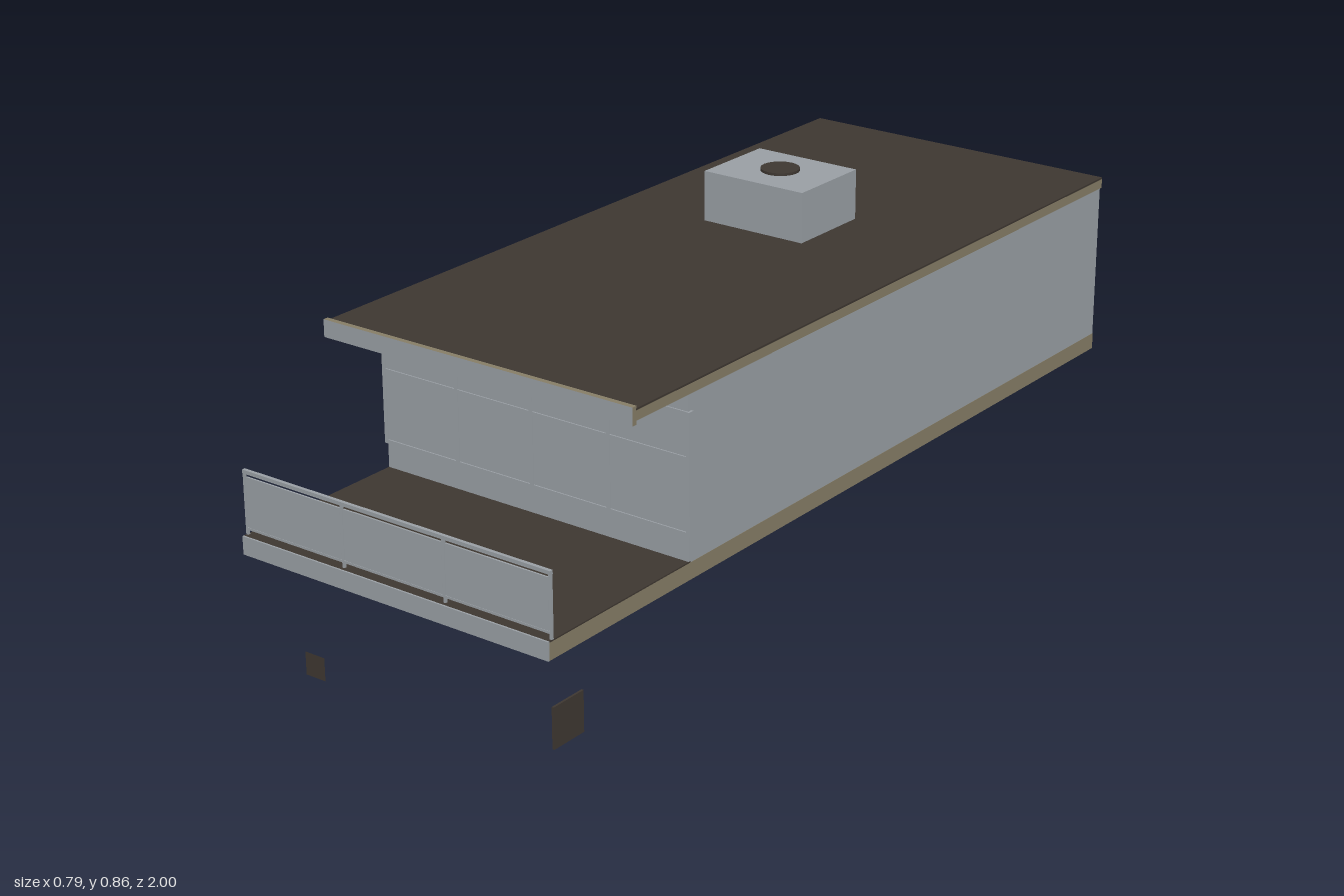
import * as THREE from 'three';

export function createModel() {
  const root = new THREE.Group();
  root.name = 'balconyHouse';
  const mat = (name, color, side = THREE.FrontSide) => {
    const m = new THREE.MeshStandardMaterial({ color, side });
    m.name = name;
    return m;
  };
  const grey = mat('greyPanel', 0x999fa4);
  const dark = mat('darkBrown', 0x3e3731, THREE.DoubleSide);
  const tan = mat('tanEdge', 0x867d66);

  const add = (name, geometry, material, parent = root) => {
    const mesh = new THREE.Mesh(geometry, material);
    mesh.name = name;
    parent.add(mesh);
    return mesh;
  };
  // Box given by its extents along each axis
  const box = (name, [x0, x1], [y0, y1], [z0, z1], material, parent) => {
    const g = new THREE.BoxGeometry(x1 - x0, y1 - y0, z1 - z0);
    g.translate((x0 + x1) / 2, (y0 + y1) / 2, (z0 + z1) / 2);
    return add(name, g, material, parent);
  };
  const group = (name) => {
    const g = new THREE.Group();
    g.name = name;
    root.add(g);
    return g;
  };
  const W = 0.39;
  const wide = [-W, W];

  // Floor slab, running out under the balcony
  box('floorSlab', wide, [0.33, 0.367], [-0.994, 0.996], tan);
  box('balconyDeck', wide, [0.367, 0.37], [0.565, 0.996], dark);
  box('floorFascia', wide, [0.33, 0.37], [0.996, 1], grey);

  // Main body
  box('walls', [-0.3895, 0.3895], [0.367, 0.72], [-0.993, 0.57], grey);

  // Roof with an overhang at the front; fascia faces: +x, -x, top, bottom, front, back
  box('roofSlab', wide, [0.72, 0.741], [-1, 0.732], tan);
  box('roofCovering', wide, [0.741, 0.745], [-1, 0.732], dark);
  box('roofFascia', wide, [0.712, 0.75], [0.73, 0.742], [tan, tan, tan, tan, grey, grey]);

  // Window frames: two rows of four panes
  const windows = group('windowFrames');
  for (let i = 0; i < 5; i++) {
    const x = -0.3905 + i * 0.19525;
    box('mullion', [x - 0.004, x + 0.004], [0.425, 0.685], [0.56, 0.574], grey, windows);
  }
  for (const y of [0.429, 0.5875, 0.681]) {
    box('transom', wide, [y - 0.004, y + 0.004], [0.562, 0.573], grey, windows);
  }

  // Balcony railing with three infill panels
  const railing = group('balconyRailing');
  box('topRail', wide, [0.502, 0.51], [0.982, 0.99], grey, railing);
  box('bottomRail', wide, [0.381, 0.386], [0.983, 0.989], grey, railing);
  for (let i = 0; i < 4; i++) {
    const x = -0.3875 + i * 0.25833;
    box('railPost', [x - 0.0025, x + 0.0025], [0.37, 0.508], [0.983, 0.989], grey, railing);
    if (i < 3) {
      box('railPanel', [x + 0.005, x + 0.2533], [0.386, 0.495], [0.984, 0.988], grey, railing);
    }
  }

  // Triangular brackets under the balcony
  const tri = new THREE.Shape();
  tri.moveTo(-0.995, 0.331);
  tri.lineTo(-0.832, 0.331);
  tri.lineTo(-0.832, 0.268);
  tri.closePath();
  for (const x of [-0.196, 0.194]) {
    const g = new THREE.ExtrudeGeometry(tri, { depth: 0.01, bevelEnabled: false });
    g.translate(0, 0, -0.005).rotateY(Math.PI / 2); // shape x becomes -z
    add('balconyBracket', g, dark).position.x = x;
  }

  // Rooftop unit with a round vent
  box('roofUnit', [-0.155, 0.103], [0.745, 0.858], [-0.42, -0.215], grey);
  add('roofVent', new THREE.CylinderGeometry(0.043, 0.043, 0.006, 24), dark)
    .position.set(-0.027, 0.861, -0.318);

  // Loose small plates below the balcony
  box('sidePlate', [0.337, 0.342], [0.1, 0.19], [0.84, 0.93], dark);
  add('frontPlate', new THREE.PlaneGeometry(0.053, 0.053), dark)
    .position.set(-0.362, 0.0265, 0.845);

  return root;
}
